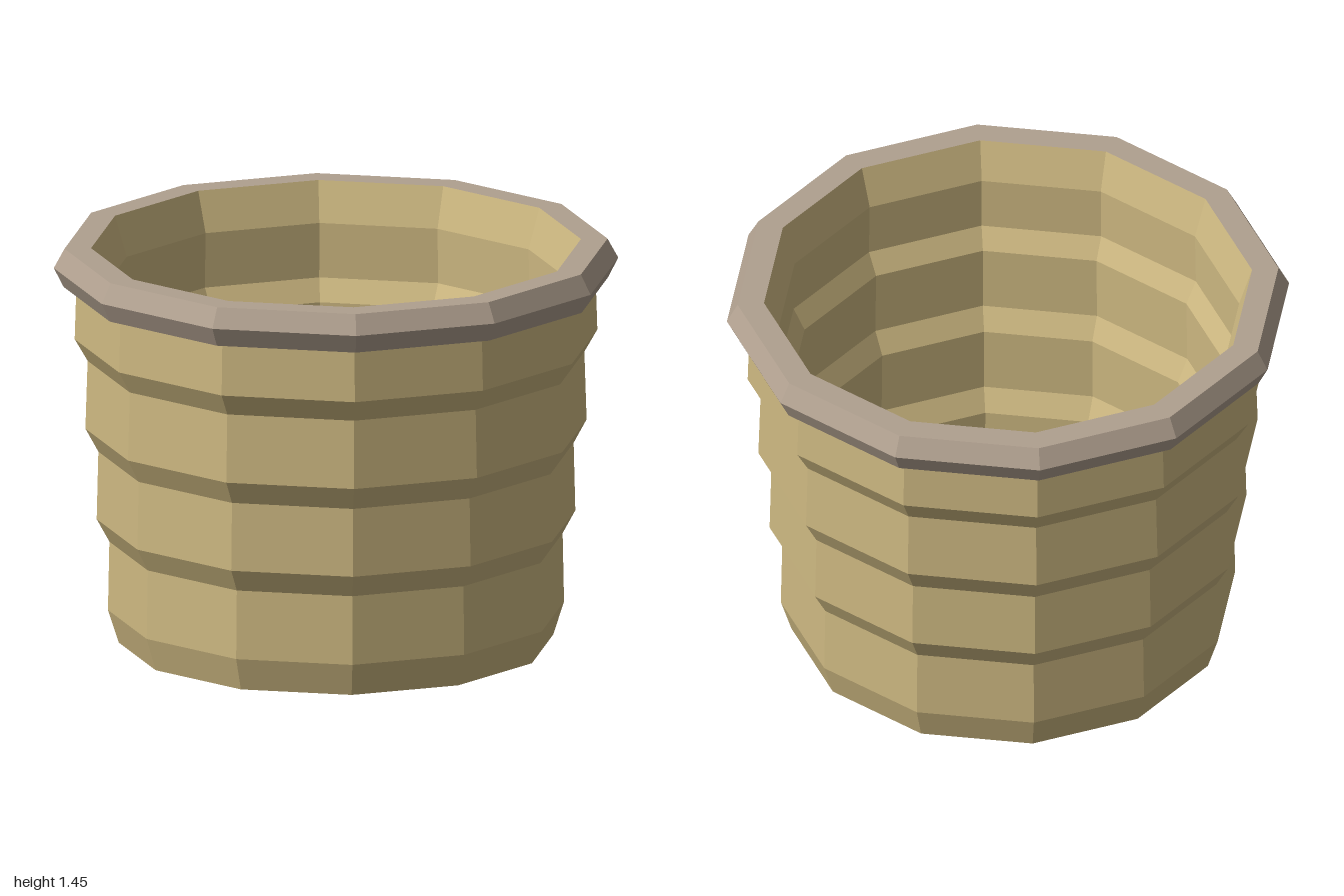
import * as THREE from 'three';

const SIDES = 12;

// Faceted solid of revolution; profile runs [radius, height] with the solid on its left
function facetedLathe(name, profile, material) {
  const points = profile.map(([r, y]) => new THREE.Vector2(r, y));
  const geometry = new THREE.LatheGeometry(points, SIDES).toNonIndexed();
  geometry.computeVertexNormals();
  const mesh = new THREE.Mesh(geometry, material);
  mesh.name = name;
  return mesh;
}

// Flat twelve-sided disc, facing up or down
function disc(name, radius, y, up, material) {
  const geometry = new THREE.CircleGeometry(radius, SIDES);
  geometry.rotateX(up ? -Math.PI / 2 : Math.PI / 2);
  const mesh = new THREE.Mesh(geometry, material);
  mesh.name = name;
  mesh.position.y = y;
  return mesh;
}

export function createModel() {
  const clay = new THREE.MeshStandardMaterial({ color: 0xcdb881 });
  clay.name = 'tan body';
  const trim = new THREE.MeshStandardMaterial({ color: 0xb0a08f });
  trim.name = 'grey brown rim';

  const group = new THREE.Group();
  group.name = 'pot';

  // Stepped outer wall: each tier leans in slightly, then flares to the next
  group.add(facetedLathe('outerWall', [
    [0.77, 0], [0.808, 0.12], [0.803, 0.37], [0.848, 0.453], [0.842, 0.70],
    [0.888, 0.785], [0.88, 1.033], [0.926, 1.113], [0.92, 1.305],
  ], clay));

  // Inner wall, following the same tiers down to the floor
  group.add(facetedLathe('innerWall', [
    [0.868, 1.445], [0.822, 1.30], [0.826, 1.10], [0.784, 1.02], [0.788, 0.775],
    [0.747, 0.69], [0.751, 0.445], [0.71, 0.36], [0.714, 0.12],
  ], clay));
  group.add(disc('floor', 0.714, 0.12, true, clay));
  group.add(disc('base', 0.77, 0, false, clay));

  // Bevelled rim band
  group.add(facetedLathe('rim', [
    [0.92, 1.305], [0.965, 1.305], [1, 1.375], [0.962, 1.445], [0.868, 1.445],
  ], trim));

  return group;
}
